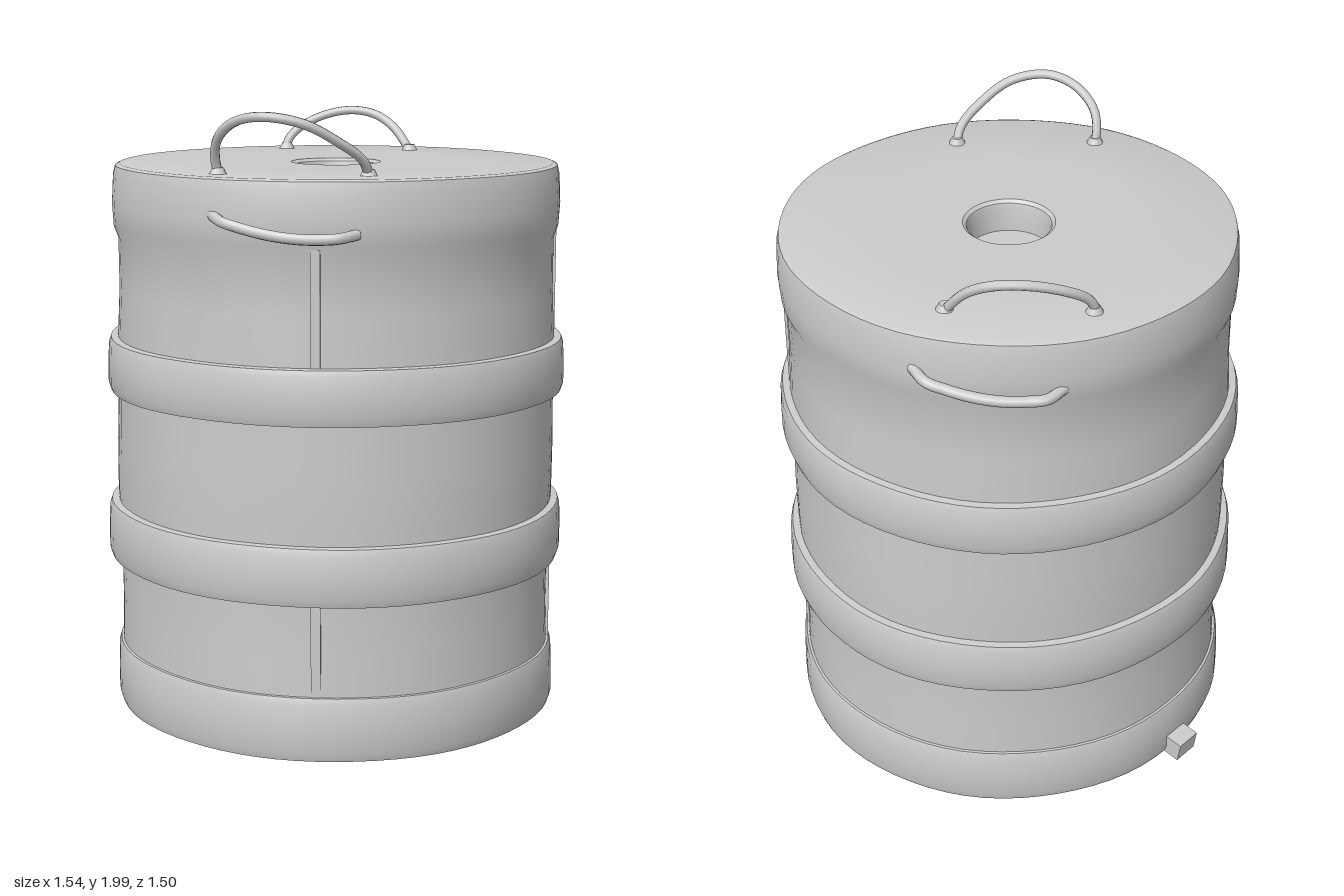
import * as THREE from 'three';
import { toCreasedNormals } from 'three/addons/utils/BufferGeometryUtils.js';

const material = new THREE.MeshStandardMaterial({ color: 0xcccccc, side: THREE.DoubleSide });

function add(parent, name, geometry) {
  const mesh = new THREE.Mesh(geometry, material);
  mesh.name = name;
  parent.add(mesh);
  return mesh;
}

// Lathe with faint hammered dents on the outer wall
function turned(points) {
  const g = new THREE.LatheGeometry(points.map(p => new THREE.Vector2(...p)), 72);
  const p = g.attributes.position;
  for (let i = 0; i < p.count; i++) {
    const x = p.getX(i), y = p.getY(i), z = p.getZ(i);
    const r = Math.hypot(x, z);
    if (r < 0.69) continue;
    const a = Math.atan2(z, x);
    const k = 1 + 0.004 * Math.sin(3 * a + 2 * y) + 0.0025 * Math.sin(8 * a - 5 * y);
    p.setXYZ(i, x * k, y, z * k);
  }
  return toCreasedNormals(g, 0.6);
}

function rod(points, radius) {
  const curve = new THREE.CatmullRomCurve3(points.map(p => new THREE.Vector3(...p)));
  return new THREE.TubeGeometry(curve, 40, radius, 8);
}

export function createModel() {
  const model = new THREE.Group();
  model.name = 'barrel';
  const drum = new THREE.Group();
  drum.name = 'drum';
  drum.position.x = 0.01;
  model.add(drum);

  // Shell: recessed underside, wall, lid and round well in one profile
  add(drum, 'shell', turned([
    [0, 0.13], [0.66, 0.13], [0.685, 0.1], [0.695, 0.03], [0.715, 0.025],
    [0.715, 0.2], [0.71, 0.35], [0.71, 0.5], [0.718, 0.75], [0.718, 0.9], [0.715, 1.05],
    [0.715, 1.25], [0.708, 1.4], [0.708, 1.57], [0.722, 1.61], [0.726, 1.68],
    [0.721, 1.77], [0.714, 1.8], [0.7, 1.806], [0.4, 1.804],
    [0.145, 1.804], [0.134, 1.795], [0.13, 1.78], [0.128, 1.7], [0, 1.695],
  ]));

  // Raised hoops: bottom, top and radius
  const hoops = [[0.02, 0.23, 0.732], [0.515, 0.705, 0.75], [1.07, 1.25, 0.748]];
  for (const [y0, y1, r] of hoops) {
    add(drum, 'hoop', turned([
      [0.7, y0], [r - 0.008, y0 + 0.005], [r, y0 + 0.03], [r, (y0 + y1) / 2],
      [r - 0.003, y1 - 0.025], [r - 0.01, y1 - 0.004], [0.7, y1],
    ]));
  }

  // Crossed beams under the floor
  const cross = new THREE.Group();
  cross.name = 'baseCross';
  cross.rotation.y = 0.47;
  drum.add(cross);
  for (const turn of [0, Math.PI / 2]) {
    const beam = add(cross, 'beam', new THREE.BoxGeometry(1.36, 0.13, 0.19));
    beam.position.y = 0.075;
    beam.rotation.y = turn;
  }

  // Thin vertical seams in the wall panels
  for (const angle of [Math.PI / 4, -Math.PI / 4]) {
    const seam = add(drum, 'seam', new THREE.BoxGeometry(0.012, 1.4, 0.03));
    seam.position.set(0.71 * Math.cos(angle), 0.9, 0.71 * Math.sin(angle));
    seam.rotation.y = -angle;
  }

  // Bent lip at the foot
  const lip = add(model, 'footLip', new THREE.BoxGeometry(0.06, 0.07, 0.09));
  lip.position.set(-0.745, 0.055, 0.03);
  lip.rotation.z = 0.15;

  // Bail handles standing on the lid
  add(model, 'frontHandle', rod([
    [0.49, 1.79, 0.27], [0.505, 1.85, 0.31], [0.495, 1.91, 0.4], [0.455, 1.965, 0.5],
    [0.37, 1.985, 0.585], [0.27, 1.965, 0.615], [0.19, 1.91, 0.615], [0.16, 1.85, 0.6],
    [0.155, 1.79, 0.58],
  ], 0.015));
  add(model, 'backHandle', rod([
    [-0.535, 1.79, -0.22], [-0.53, 1.85, -0.25], [-0.5, 1.905, -0.33], [-0.43, 1.935, -0.42],
    [-0.35, 1.925, -0.475], [-0.27, 1.88, -0.5], [-0.19, 1.79, -0.515],
  ], 0.015));

  // Side grips on opposite sides, just under the rim
  for (const side of [0, Math.PI]) {
    const points = [];
    for (let i = 0; i <= 8; i++) {
      const t = i / 8;
      const a = 1.24 - 0.63 * t;
      const r = i === 0 || i === 8 ? 0.715 : 0.752;
      points.push([r * Math.cos(a), 1.695 - 0.06 * Math.sin(t * 2.2), r * Math.sin(a)]);
    }
    const grip = add(drum, 'sideGrip', rod(points, 0.017));
    grip.rotation.y = side;
  }

  // Small footing collars where the handles meet the lid
  for (const [x, z] of [[0.495, 0.28], [0.157, 0.588], [-0.533, -0.232], [-0.2, -0.512]]) {
    const collar = add(model, 'handleCollar', new THREE.CylinderGeometry(0.017, 0.03, 0.025, 12));
    collar.position.set(x, 1.812, z);
  }
  return model;
}
